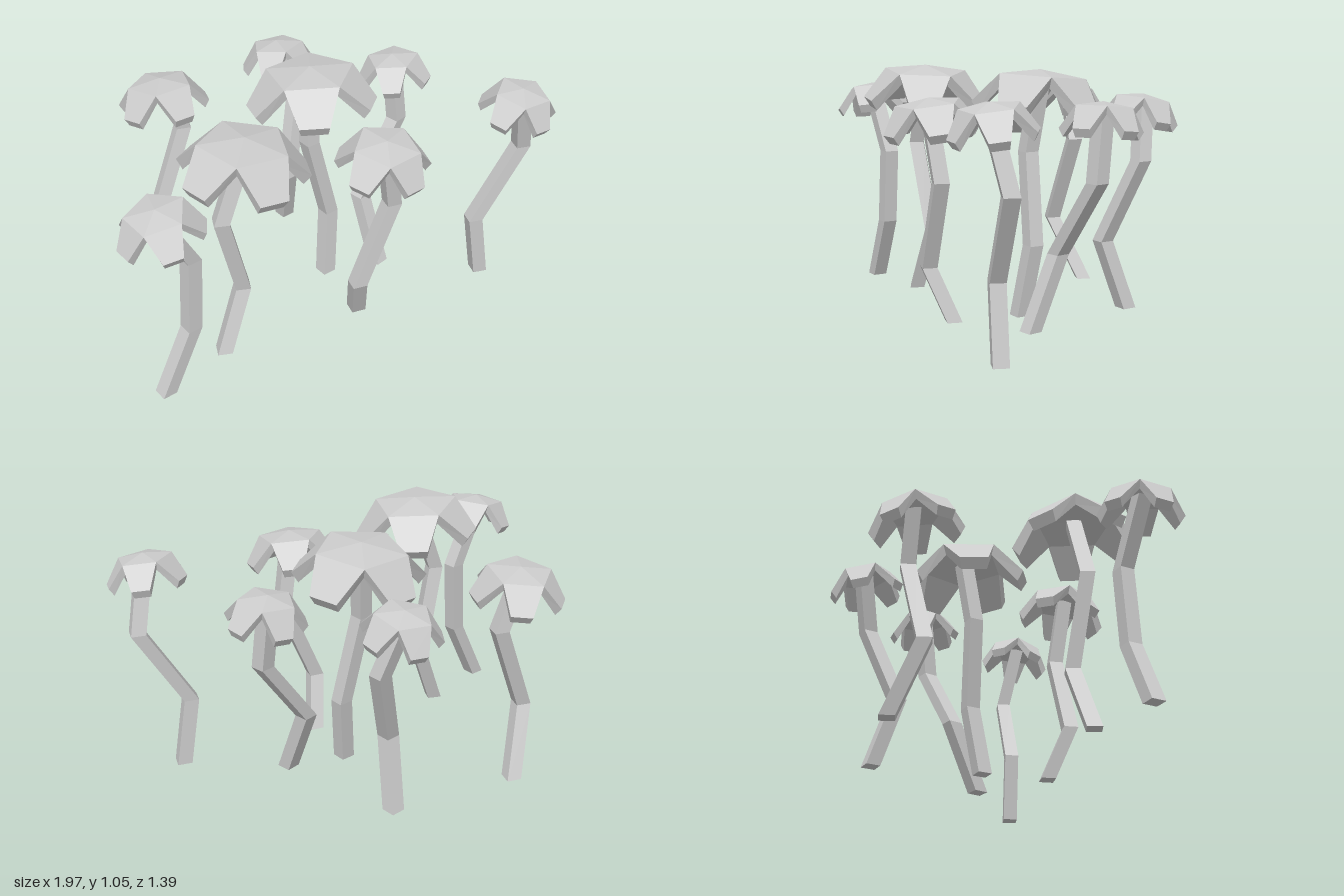
import * as THREE from 'three';

const material = new THREE.MeshStandardMaterial({ color: 0xcccccc, flatShading: true });
const rad = THREE.MathUtils.degToRad;

// Four-sided trunk: each ring of a cylinder is slid onto its path point [x, y, z]
function trunkGeometry(path, turn) {
  const rows = path.length - 1;
  const geo = new THREE.CylinderGeometry(0.045, 0.045, rows, 4, rows);
  geo.rotateY(rad(45 - turn));
  const pos = geo.attributes.position;
  for (let i = 0; i < pos.count; i++) {
    const [x, y, z] = path[Math.round(pos.getY(i) + rows / 2)];
    pos.setXYZ(i, pos.getX(i) + x, y, pos.getZ(i) + z);
  }
  geo.computeVertexNormals();
  return geo;
}

// Crown: a shallow five-sided cap with a drooping leaf on each edge, as a thick shell.
// Unit size has leaf tips at radius 0.28; the apex is at the origin.
function crownGeometry(size) {
  const tall = 0.35 + 0.65 * size;
  const points = [], index = [];
  const add = (r, side, angle, y) => points.push(
    size * (r * Math.cos(angle) - side * Math.sin(angle)), tall * y,
    size * (r * Math.sin(angle) + side * Math.cos(angle)));
  const quad = (a, b, c, d) => index.push(a, b, c, a, c, d);

  // Layer: the apex, then per leaf its cap corner and two tip corners
  const layer = (capR, capY, tipR, tipW, tipY, apexY) => {
    add(0, 0, 0, apexY);
    for (let i = 0; i < 5; i++) {
      const a = i * Math.PI * 0.4;
      add(capR, 0, a - Math.PI / 5, capY);
      add(tipR, -tipW, a, tipY);
      add(tipR, tipW, a, tipY);
    }
  };
  layer(0.2, -0.028, 0.28, 0.065, -0.155, 0);
  layer(0.18, -0.075, 0.25, 0.058, -0.2, -0.05);

  // Top, underside and rim of each fifth
  const low = 16;
  for (let i = 0; i < 5; i++) {
    const p = 1 + i * 3, ta = p + 1, tb = p + 2, q = 1 + ((i + 1) % 5) * 3;
    index.push(0, q, p, low, low + p, low + q);
    quad(p, q, tb, ta);
    quad(low + p, low + ta, low + tb, low + q);
    for (const [u, v] of [[p, ta], [ta, tb], [tb, q]]) quad(u, v, low + v, low + u);
  }
  const geo = new THREE.BufferGeometry();
  geo.setAttribute('position', new THREE.Float32BufferAttribute(points, 3));
  geo.setIndex(index);
  const flat = geo.toNonIndexed();
  flat.computeVertexNormals();
  return flat;
}

// One palm. crown: apex position; reach: leaf radius; turn: heading in degrees;
// leanX, leanZ: crown tilt in degrees; base [x, z], knee and bend: trunk points
function makePalm({ crown, reach, turn, leanX = 0, leanZ = 0, base, knee, bend }) {
  const [x, y, z] = crown;
  const path = [[base[0], 0, base[1]], knee, bend, [x, y - 0.04, z]];
  const trunk = new THREE.Mesh(trunkGeometry(path, turn), material);
  trunk.name = 'trunk';

  const leaves = new THREE.Mesh(crownGeometry(reach / 0.285).rotateY(-rad(turn)), material);
  leaves.name = 'leafCrown';
  leaves.position.set(x, y, z);
  leaves.rotation.set(rad(leanZ), 0, -rad(leanX));

  return new THREE.Group().add(trunk, leaves);
}

const palms = [
  { crown: [-0.29, 0.955, -0.53], reach: 0.2, turn: 22, leanZ: -8,
    base: [-0.235, -0.59], knee: [-0.37, 0.29, -0.5], bend: [-0.2, 0.69, -0.51] },
  { crown: [0.33, 0.94, -0.51], reach: 0.168, turn: -2, leanZ: -10,
    base: [0.32, -0.44], knee: [0.27, 0.3, -0.35], bend: [0.4, 0.66, -0.45] },
  { crown: [0.18, 1.05, -0.08], reach: 0.28, turn: -90, leanZ: -5,
    base: [0.2, 0.03], knee: [0.24, 0.31, -0.01], bend: [0.15, 0.7, -0.04] },
  { crown: [0.65, 0.95, -0.075], reach: 0.167, turn: -8, leanX: -4, leanZ: -6,
    base: [0.44, 0.125], knee: [0.435, 0.31, -0.01], bend: [0.665, 0.63, -0.04] },
  { crown: [-0.36, 1.05, 0.19], reach: 0.27, turn: 27, leanX: 5,
    base: [-0.49, 0.18], knee: [-0.37, 0.29, 0.16], bend: [-0.48, 0.69, 0.18] },
  { crown: [-0.815, 0.945, 0.245], reach: 0.178, turn: 180, leanX: -10,
    base: [-0.825, 0.235], knee: [-0.685, 0.29, 0.24], bend: [-0.665, 0.63, 0.235] },
  { crown: [0.16, 0.95, 0.44], reach: 0.2, turn: 17, leanZ: 7,
    base: [0.14, 0.32], knee: [0.07, 0.23, 0.4], bend: [0.225, 0.61, 0.42] },
  { crown: [0.835, 0.99, 0.54], reach: 0.168, turn: 22, leanX: 2, leanZ: 8,
    base: [0.77, 0.46], knee: [0.72, 0.31, 0.445], bend: [0.915, 0.66, 0.5] },
];

export function createModel() {
  const grove = new THREE.Group();
  grove.name = 'palmGrove';
  palms.forEach((spec, i) => {
    const palm = makePalm(spec);
    palm.name = `palm${i + 1}`;
    grove.add(palm);
  });
  return grove;
}
